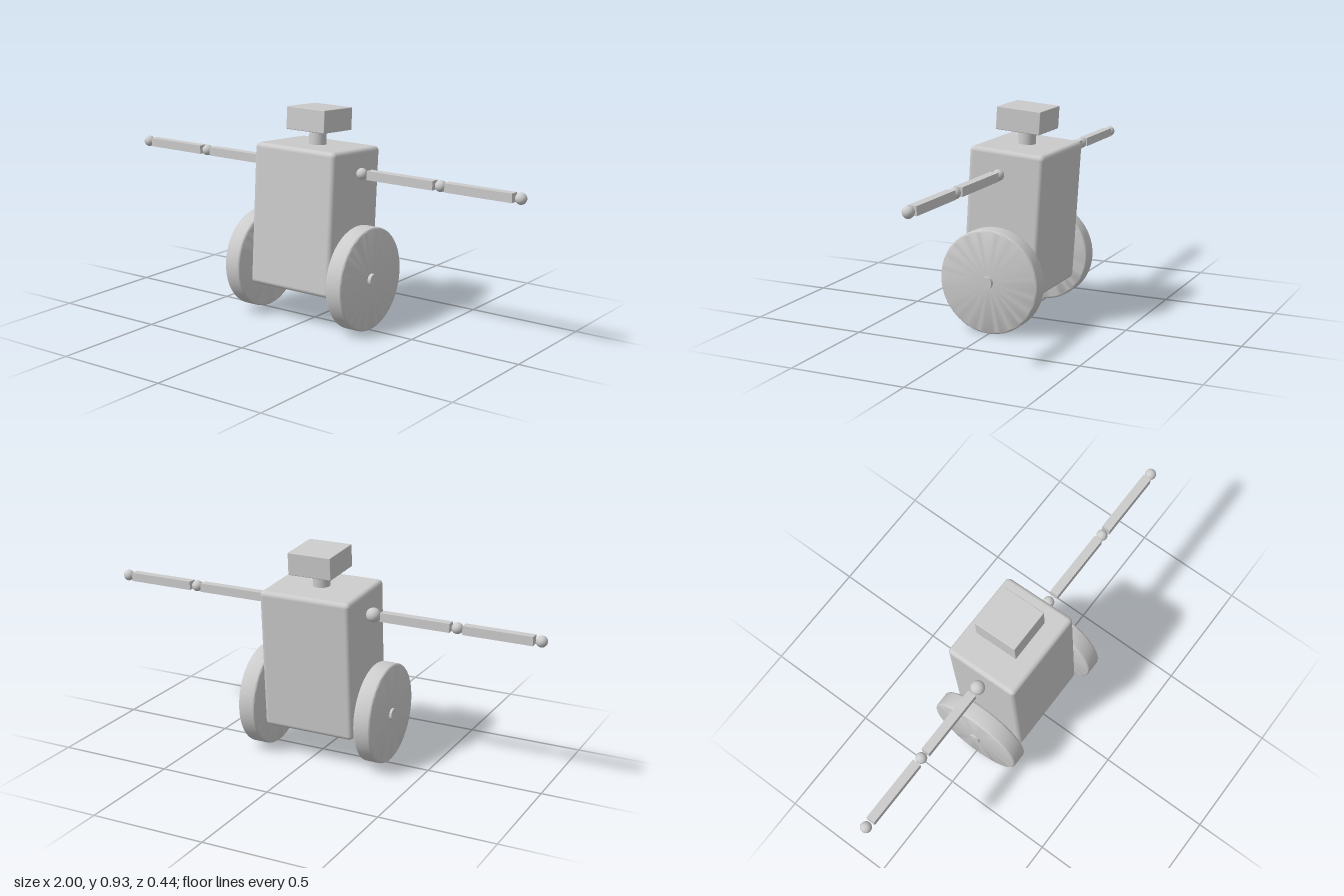
import * as THREE from 'three';
import { RoundedBoxGeometry } from 'three/addons/geometries/RoundedBoxGeometry.js';
import { toCreasedNormals } from 'three/addons/utils/BufferGeometryUtils.js';

const grey = new THREE.MeshStandardMaterial({ color: 0xcccccc });
const TILT = -0.065; // the torso leans slightly back

function add(parent, name, geometry, x, y, z) {
  const mesh = new THREE.Mesh(geometry, grey);
  mesh.name = name;
  mesh.position.set(x, y, z);
  parent.add(mesh);
  return mesh;
}

// Solid disc with a softly rounded rim, its axis along x
function wheelGeometry(radius, width, bevel) {
  const points = [new THREE.Vector2(0, -width / 2)];
  for (const side of [-1, 1]) {
    for (let i = 0; i <= 4; i++) {
      const a = (side < 0 ? i - 4 : i) * Math.PI / 8;
      points.push(new THREE.Vector2(
        radius - bevel + bevel * Math.cos(a),
        side * (width / 2 - bevel) + bevel * Math.sin(a)));
    }
  }
  points.push(new THREE.Vector2(0, width / 2));
  const g = new THREE.LatheGeometry(points, 64);
  g.rotateZ(-Math.PI / 2);
  return toCreasedNormals(g, 0.6);
}

// Shoulder, elbow and hand balls with a square bar in each gap
function addArm(model, name, balls, bars, y, z) {
  const arm = new THREE.Group();
  arm.name = name;
  const ballNames = ['shoulder', 'elbow', 'hand'];
  balls.forEach(([x, r], i) =>
    add(arm, ballNames[i], new THREE.SphereGeometry(r, 32, 20), x, 0, 0));
  bars.forEach(([a, b], i) =>
    add(arm, i ? 'forearm' : 'upperArm',
      new THREE.BoxGeometry(Math.abs(b - a), 0.038, 0.038), (a + b) / 2, 0, 0));
  arm.position.set(0, y, z);
  model.add(arm);
}

export function createModel() {
  const model = new THREE.Group();
  model.name = 'wheeledRobot';

  // Torso, neck and head share the lean
  add(model, 'torso', new RoundedBoxGeometry(0.415, 0.613, 0.338, 4, 0.02), -0.012, 0.457, -0.016).rotation.x = TILT;
  add(model, 'neck', new THREE.CylinderGeometry(0.037, 0.037, 0.1, 32), -0.012, 0.795, -0.037).rotation.x = TILT;
  add(model, 'head', new RoundedBoxGeometry(0.197, 0.097, 0.2, 2, 0.003), -0.007, 0.874, -0.041).rotation.x = TILT;

  // Wheels on a through axle
  add(model, 'leftWheel', wheelGeometry(0.222, 0.08, 0.01), 0.255, 0.225, 0);
  add(model, 'rightWheel', wheelGeometry(0.215, 0.078, 0.01), -0.286, 0.229, 0);
  add(model, 'axle', new THREE.CylinderGeometry(0.026, 0.026, 0.645, 32).rotateZ(Math.PI / 2), -0.0125, 0.226, 0.003);

  // Outstretched arms
  addArm(model, 'leftArm', [[0.23, 0.024], [0.613, 0.024], [0.975, 0.024]],
    [[0.267, 0.585], [0.641, 0.946]], 0.668, -0.018);
  addArm(model, 'rightArm', [[-0.248, 0.031], [-0.622, 0.024], [-0.977, 0.024]],
    [[-0.286, -0.594], [-0.65, -0.947]], 0.664, -0.027);

  return model;
}
